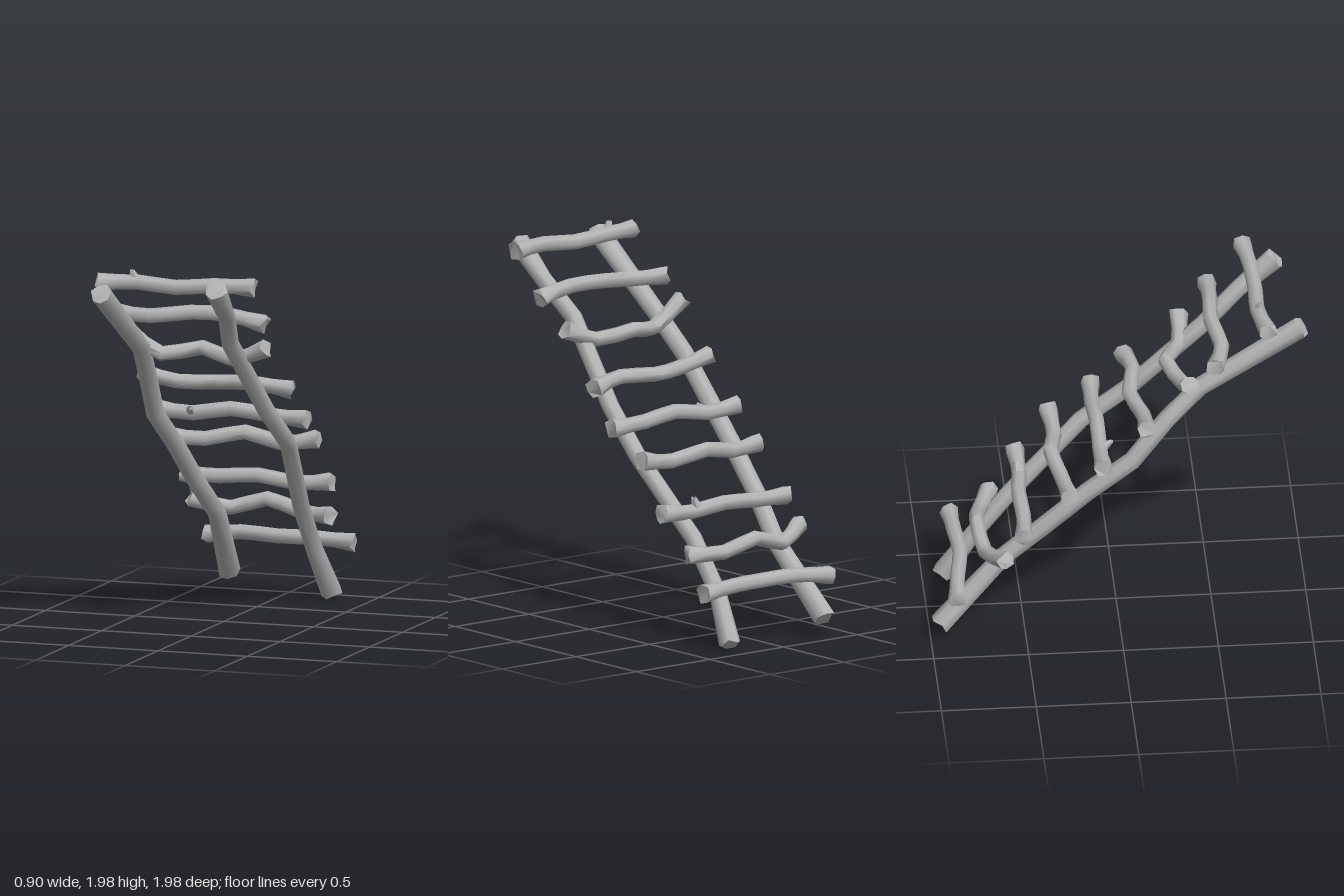
import * as THREE from 'three';
import { toCreasedNormals } from 'three/addons/utils/BufferGeometryUtils.js';

const SIDES = 7;

// Gnarled branch: rings of corners along a path, flared and ragged at the cut ends.
function branch(path, midRadius, startRadius, endRadius, spin) {
  const position = [], index = [];
  const last = path.length - 1;
  const overall = path[last].clone().sub(path[0]);
  const side = Math.abs(overall.x) > 0.5 ? new THREE.Vector3(0, 1, 0) : new THREE.Vector3(1, 0, 0);
  path.forEach((c, i) => {
    const t = path[Math.min(i + 1, last)].clone().sub(path[Math.max(i - 1, 0)]).normalize();
    const u = side.clone().addScaledVector(t, -side.dot(t)).normalize();
    const v = t.clone().cross(u);
    const isEnd = i === 0 || i === last;
    const radius = i === 0 ? startRadius : i === last ? endRadius : midRadius;
    for (let k = 0; k < SIDES; k++) {
      const a = spin + (k / SIDES) * Math.PI * 2;
      const p = c.clone()
        .addScaledVector(u, Math.cos(a) * radius)
        .addScaledVector(v, Math.sin(a) * radius)
        .addScaledVector(t, isEnd ? 0.012 * Math.sin(k * 2.4 + spin * 3) : 0);
      position.push(p.x, p.y, p.z);
    }
  });
  for (let i = 0; i < last; i++) {
    for (let k = 0; k < SIDES; k++) {
      const a = i * SIDES + k, b = i * SIDES + ((k + 1) % SIDES);
      index.push(a, b, a + SIDES, b, b + SIDES, a + SIDES);
    }
  }
  for (let k = 1; k < SIDES - 1; k++) {
    const e = last * SIDES;
    index.push(0, k + 1, k, e, e + k, e + k + 1);
  }
  const g = new THREE.BufferGeometry();
  g.setAttribute('position', new THREE.Float32BufferAttribute(position, 3));
  g.setIndex(index);
  return toCreasedNormals(g, 0.95);
}

export function createModel() {
  const model = new THREE.Group();
  model.name = 'branchLadder';
  const wood = new THREE.MeshStandardMaterial({ color: 0xb4b4b4 });
  wood.name = 'greyWood';

  const add = (name, path, midRadius, startRadius, endRadius, spin) => {
    const mesh = new THREE.Mesh(branch(path, midRadius, startRadius, endRadius, spin), wood);
    mesh.name = name;
    model.add(mesh);
  };
  const toVectors = (points) => points.map((p) => new THREE.Vector3(...p));

  // Leaning rails, from the foot to the top
  const rightRail = [
    [-0.32, 0.12, -0.95], [-0.265, 0.49, -0.61], [-0.31, 0.7, -0.4], [-0.335, 0.92, -0.17],
    [-0.365, 1.12, 0.06], [-0.34, 1.35, 0.24], [-0.31, 1.53, 0.42], [-0.335, 1.89, 0.95],
  ];
  const leftRail = [
    [0.275, 0.05, -0.89], [0.235, 0.3, -0.74], [0.235, 0.56, -0.54], [0.305, 0.95, -0.16],
    [0.275, 1.17, 0.1], [0.215, 1.58, 0.48], [0.265, 1.76, 0.67], [0.275, 1.93, 0.86],
  ];
  add('rightRail', toVectors(rightRail), 0.05, 0.06, 0.058, 0.3);
  add('leftRail', toVectors(leftRail), 0.047, 0.058, 0.06, 0.9);

  // Crooked rungs, top to bottom: heights and depths at five even steps across
  const rungs = [
    { y: [1.92, 1.925, 1.91, 1.93, 1.925], z: [0.77, 0.73, 0.735, 0.725, 0.7], end: 0.43 },
    { y: [1.715, 1.715, 1.74, 1.74, 1.7], z: [0.49, 0.54, 0.5, 0.51, 0.51], end: 0.42 },
    { y: [1.61, 1.485, 1.515, 1.475, 1.55], z: [0.355, 0.345, 0.26, 0.34, 0.36], end: 0.37 },
    { y: [1.345, 1.305, 1.305, 1.315, 1.285], z: [0.13, 0.125, 0.07, 0.105, 0.07], end: 0.41 },
    { y: [1.115, 1.1, 1.135, 1.11, 1.1], z: [-0.1, -0.1, -0.1, -0.11, -0.1], end: 0.43 },
    { y: [0.94, 0.93, 0.97, 0.93, 0.96], z: [-0.275, -0.3, -0.345, -0.31, -0.325], end: 0.41 },
    { y: [0.7, 0.7, 0.715, 0.69, 0.705], z: [-0.52, -0.505, -0.515, -0.495, -0.5], end: 0.42 },
    { y: [0.56, 0.5, 0.555, 0.5, 0.5], z: [-0.615, -0.71, -0.735, -0.71, -0.64], end: 0.36 },
    { y: [0.325, 0.35, 0.345, 0.345, 0.33], z: [-0.87, -0.85, -0.82, -0.835, -0.845], end: 0.42 },
  ];
  rungs.forEach(({ y, z, end }, i) => {
    const points = y.map((h, k) => new THREE.Vector3(-0.42 + (k / 4) * (end + 0.42), h, z[k]));
    const path = new THREE.CatmullRomCurve3(points).getPoints(8);
    add(`rung${i + 1}`, path, 0.041, 0.05, 0.052, i * 0.7);
  });

  // Broken twig stubs on three rungs
  const stubs = [
    [[-0.22, 1.92, 0.73], [-0.24, 1.985, 0.74]],
    [[-0.22, 1.1, -0.1], [-0.2, 1.135, -0.04]],
    [[0.18, 0.7, -0.5], [0.21, 0.765, -0.51]],
  ];
  stubs.forEach((ends, i) => add(`twigStub${i + 1}`, toVectors(ends), 0.03, 0.035, 0.012, i));

  return model;
}
